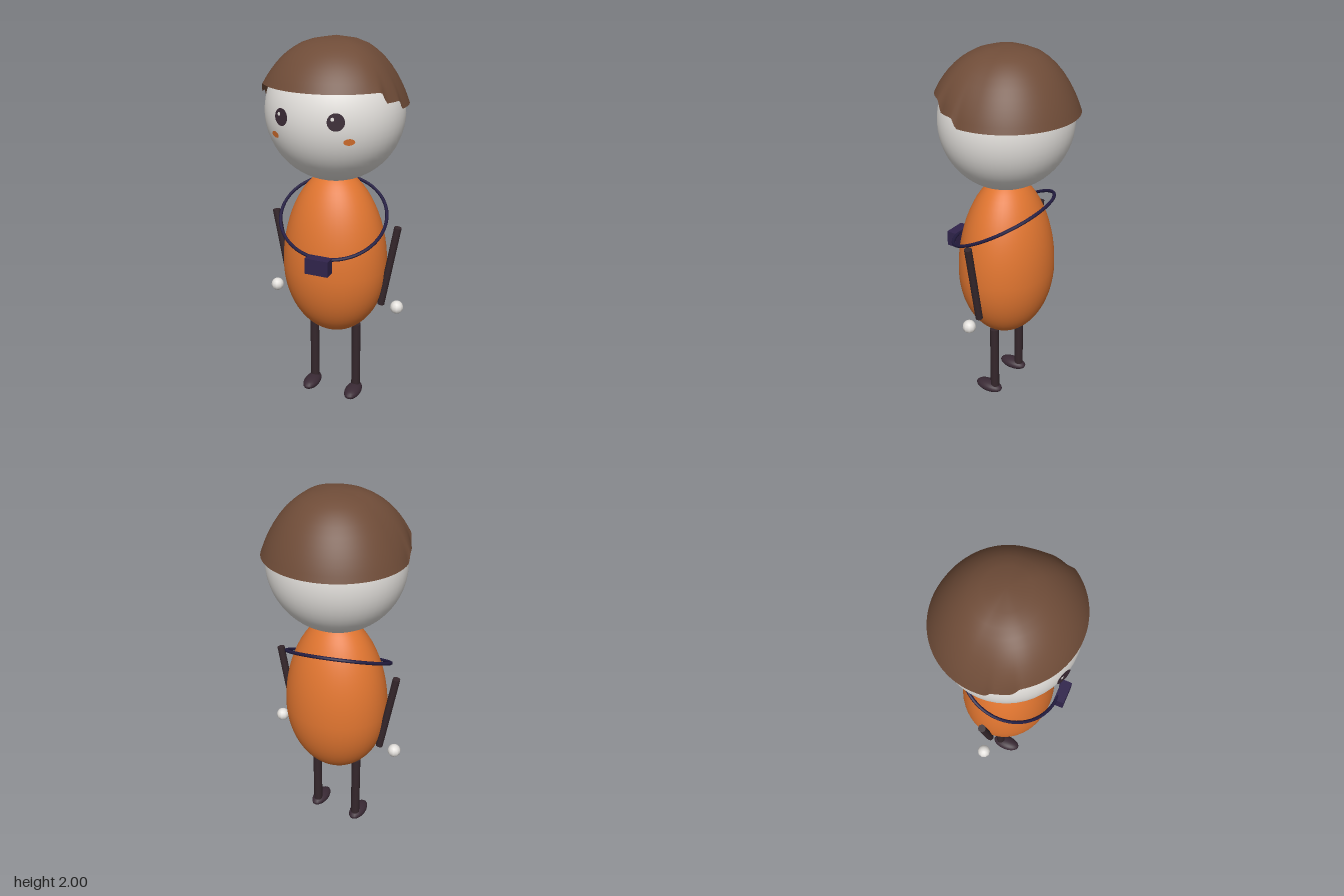
import * as THREE from 'three';

function paint(name, hex, side = THREE.FrontSide) {
  const m = new THREE.MeshStandardMaterial({ color: hex, side });
  m.name = name;
  return m;
}

// Ellipsoid head
const HEAD = { c: new THREE.Vector3(0, 1.633, 0.011), r: new THREE.Vector3(0.356, 0.353, 0.338) };

// Hair cap: dome columns that end at a stepped hem
function hairGeometry() {
  const profile = [[0.06, 0.11], [0.13, 0.165], [0.22, 0.205], [0.32, 0.24], [0.44, 0.272],
    [0.56, 0.298], [0.68, 0.32], [0.8, 0.339], [0.9, 0.352], [1, 0.364]];
  const cols = 144;
  const ease = THREE.MathUtils.smoothstep;
  const pos = [0, 2, 0], index = [];
  for (let i = 0; i < cols; i++) {
    const a = (i / cols) * Math.PI * 2;
    const s = Math.sin(a), c = Math.cos(a), z = 0.36 * c;
    const broad = 0.32 - 0.1 * ease(z, -0.05, 0.26);
    const hem = 0.32 - 0.045 * ease(z, 0.05, 0.085) - 0.055 * ease(z, 0.165, 0.2);
    for (const [t, r] of profile) {
      const depth = THREE.MathUtils.lerp(broad, hem, t ** 5);
      pos.push(s * r * 1.01, 2 - t * depth, c * r * 0.975);
    }
  }
  const n = profile.length;
  for (let i = 0; i < cols; i++) {
    const p = 1 + i * n, q = 1 + ((i + 1) % cols) * n;
    index.push(0, p, q);
    for (let j = 0; j < n - 1; j++) index.push(p + j, p + j + 1, q + j, q + j, p + j + 1, q + j + 1);
  }
  const g = new THREE.BufferGeometry();
  g.setAttribute('position', new THREE.Float32BufferAttribute(pos, 3));
  g.setIndex(index);
  g.computeVertexNormals();
  return g;
}

export function createModel() {
  const model = new THREE.Group();
  const skin = paint('pale skin', 0xe4e1dd);
  const hair = paint('brown hair', 0x6f4c38, THREE.DoubleSide);
  const orange = paint('orange body', 0xe07530);
  const dark = paint('dark limbs', 0x35272c);
  const shoe = paint('dark shoes and eyes', 0x3a2a35);
  const navy = paint('navy strap', 0x241d42);
  const pouchColor = paint('indigo pouch', 0x30244c);

  const add = (name, geometry, material, x = 0, y = 0, z = 0) => {
    const mesh = new THREE.Mesh(geometry, material);
    mesh.name = name;
    mesh.position.set(x, y, z);
    model.add(mesh);
    return mesh;
  };

  // Rod between two points
  const rod = (name, a, b, radius, material) => {
    const dir = b.clone().sub(a);
    const mesh = add(name, new THREE.CylinderGeometry(radius, radius, dir.length(), 12), material);
    mesh.position.copy(a).add(b).multiplyScalar(0.5);
    mesh.quaternion.setFromUnitVectors(new THREE.Vector3(0, 1, 0), dir.normalize());
  };

  // Flat disc lying just off the face
  const faceDisc = (name, x, y, rx, ry, lift, material) => {
    const u = x / HEAD.r.x, v = (y - HEAD.c.y) / HEAD.r.y;
    const z = HEAD.c.z + HEAD.r.z * Math.sqrt(1 - u * u - v * v);
    const p = new THREE.Vector3(x, y, z);
    const normal = p.clone().sub(HEAD.c).divide(HEAD.r).divide(HEAD.r).normalize();
    const mesh = add(name, new THREE.CircleGeometry(1, 28), material);
    mesh.position.copy(p).addScaledVector(normal, lift);
    mesh.lookAt(mesh.position.clone().add(normal));
    mesh.scale.set(rx, ry, 1);
  };

  // Head and hair
  const head = add('head', new THREE.SphereGeometry(1, 48, 32), skin);
  head.position.copy(HEAD.c);
  head.scale.copy(HEAD.r);
  add('hair', hairGeometry(), hair);

  // Egg-shaped body, tapering upward
  const outline = [];
  for (let i = 0; i <= 32; i++) {
    const a = -Math.PI / 2 + (i / 32) * Math.PI;
    const up = Math.max(0, Math.sin(a));
    const r = i % 32 === 0 ? 0 : 0.286 * Math.cos(a) * (1 - 0.06 * up * up);
    outline.push(new THREE.Vector2(r, 0.8 + Math.sin(a) * (up > 0 ? 0.53 : 0.397)));
  }
  add('body', new THREE.LatheGeometry(outline, 48), orange, 0, 0, 0.012).scale.z = 0.875;

  // Mirrored limbs and face details
  for (const s of [-1, 1]) {
    const side = s > 0 ? 'left' : 'right';
    rod(side + 'Arm', new THREE.Vector3(s * 0.268, 0.6, 0.012), new THREE.Vector3(s * 0.35, 1.055, 0.012), 0.02, dark);
    add(side + 'Hand', new THREE.SphereGeometry(0.036, 10, 8), skin, s * 0.358, 0.597, 0.012);
    rod(side + 'Leg', new THREE.Vector3(s * 0.127, 0.03, 0.012), new THREE.Vector3(s * 0.127, 0.445, 0.012), 0.025, dark);
    add(side + 'Foot', new THREE.SphereGeometry(1, 20, 12), shoe, s * 0.128, 0.031, 0.052).scale.set(0.045, 0.031, 0.084);
    faceDisc(side + 'Eye', s * 0.136, 1.655, 0.042, 0.042, 0.009, shoe);
    faceDisc(side + 'EyeGlint', s * 0.134 - 0.013, 1.668, 0.009, 0.009, 0.012, skin);
    faceDisc(side + 'Cheek', s * 0.188, 1.56, 0.028, 0.017, 0.006, orange);
  }

  // Slanted strap loop with a pouch at the front
  const loop = [];
  for (let i = 0; i < 24; i++) {
    const a = (i / 24) * Math.PI * 2, c = Math.cos(a), s = Math.sin(a);
    loop.push(new THREE.Vector3(0.283 * c, 1.08 - 0.135 * s - 0.035 * c, 0.035 + 0.262 * s));
  }
  add('strap', new THREE.TubeGeometry(new THREE.CatmullRomCurve3(loop, true), 72, 0.009, 8, true), navy);
  add('pouch', new THREE.BoxGeometry(0.125, 0.084, 0.056), pouchColor, 0.036, 0.911, 0.313);

  return model;
}
